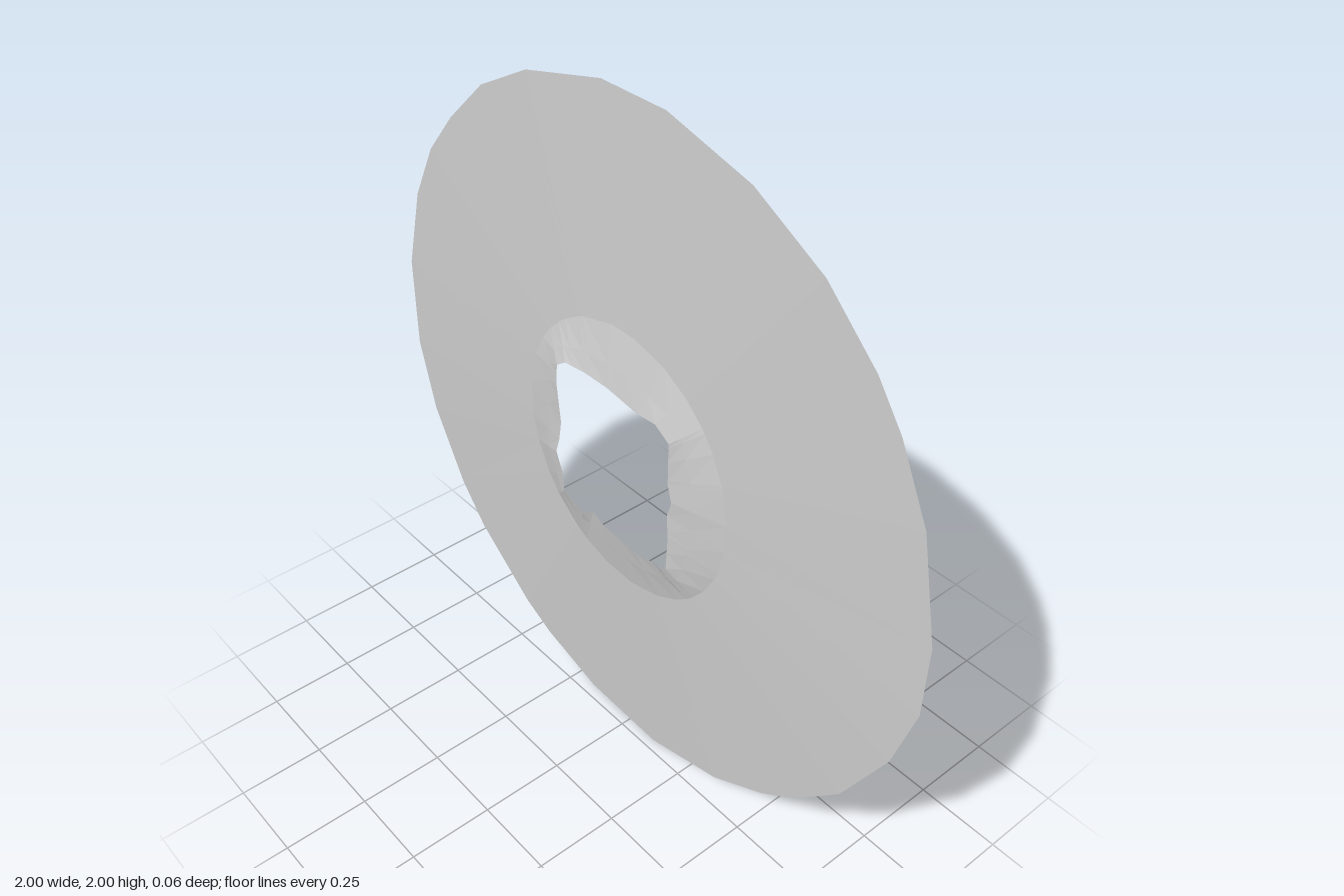
import * as THREE from 'three';

// Outer rim and central opening, clockwise from the top, as x, y about the centre
const RIM = [
  [-0.11, 1], [0.11, 1], [0.38, 0.93], [0.6, 0.81], [0.76, 0.66], [0.84, 0.55], [0.935, 0.36],
  [1, 0.07], [1, -0.14], [0.94, -0.35], [0.81, -0.59], [0.67, -0.74], [0.55, -0.83], [0.37, -0.93],
  [0.11, -1], [-0.17, -0.99], [-0.39, -0.925], [-0.5, -0.87], [-0.72, -0.7], [-0.82, -0.58],
  [-0.94, -0.36], [-1, -0.14], [-1, 0.14], [-0.93, 0.39], [-0.84, 0.56], [-0.73, 0.69],
  [-0.58, 0.83], [-0.39, 0.93],
];
const HOLE = [
  [-0.11, 0.235], [-0.02, 0.235], [0.09, 0.22], [0.16, 0.225], [0.21, 0.195], [0.21, 0.07],
  [0.225, 0.02], [0.21, -0.03], [0.215, -0.1], [0.21, -0.21], [0.19, -0.225], [0.16, -0.22],
  [0.09, -0.235], [0.02, -0.23], [-0.04, -0.225], [-0.085, -0.205], [-0.13, -0.235],
  [-0.21, -0.21], [-0.215, -0.15], [-0.24, -0.09], [-0.225, -0.04], [-0.215, 0.02],
  [-0.23, 0.14], [-0.225, 0.2], [-0.19, 0.225],
];

// Distance from the centre to an outline along angle a
function reach(outline, a) {
  const c = Math.cos(a), s = Math.sin(a);
  let best = 0;
  outline.forEach(([x0, y0], i) => {
    const [x1, y1] = outline[(i + 1) % outline.length];
    const d0 = c * y0 - s * x0, d1 = c * y1 - s * x1;
    if (d0 * d1 > 1e-12 || Math.abs(d0 - d1) < 1e-9) return;
    const t = Math.min(1, Math.max(0, d0 / (d0 - d1)));
    best = Math.max(best, c * (x0 + t * (x1 - x0)) + s * (y0 + t * (y1 - y0)));
  });
  return best;
}

// Open sheet between rings of equal length, facing +z
function sheet(rings) {
  const pos = [], index = [], n = rings[0].length;
  rings.forEach((ring) => ring.forEach((p) => pos.push(...p)));
  for (let r = 0; r < rings.length - 1; r++) {
    for (let i = 0; i < n; i++) {
      const j = (i + 1) % n;
      const a = r * n + i, b = r * n + j, c = a + n, d = b + n;
      index.push(a, b, c, b, d, c);
    }
  }
  const geo = new THREE.BufferGeometry();
  geo.setAttribute('position', new THREE.Float32BufferAttribute(pos, 3));
  geo.setIndex(index);
  geo.computeVertexNormals();
  return geo;
}

export function createModel() {
  const group = new THREE.Group();
  const material = new THREE.MeshStandardMaterial({
    color: 0xcccccc, flatShading: true, side: THREE.DoubleSide,
  });

  // Spokes pass through every corner of both outlines
  const angles = [...RIM, ...HOLE].map(([x, y]) => Math.atan2(y, x)).sort((a, b) => a - b)
    .filter((a, i, all) => i === 0 || a - all[i - 1] > 0.004);
  const ring = (radius, z) => angles.map((a) => {
    const r = radius(a);
    return [r * Math.cos(a), 1 + r * Math.sin(a), z];
  });

  const rim = ring((a) => reach(RIM, a), -0.03);
  const shoulder = ring((a) => 0.385 + 0.015 * Math.abs(Math.sin(a)), -0.003);
  const slope = ring((a) => 0.58 * reach(HOLE, a) + 0.42 * 0.39, 0.018);
  const opening = ring((a) => reach(HOLE, a), 0.031);

  // Shallow conical brim
  const brim = new THREE.Mesh(sheet([rim, shoulder]), material);
  brim.name = 'brim';

  // Raised faceted collar round the ragged square opening
  const collar = new THREE.Mesh(sheet([shoulder, slope, opening]), material);
  collar.name = 'collar';

  group.add(brim, collar);
  return group;
}
